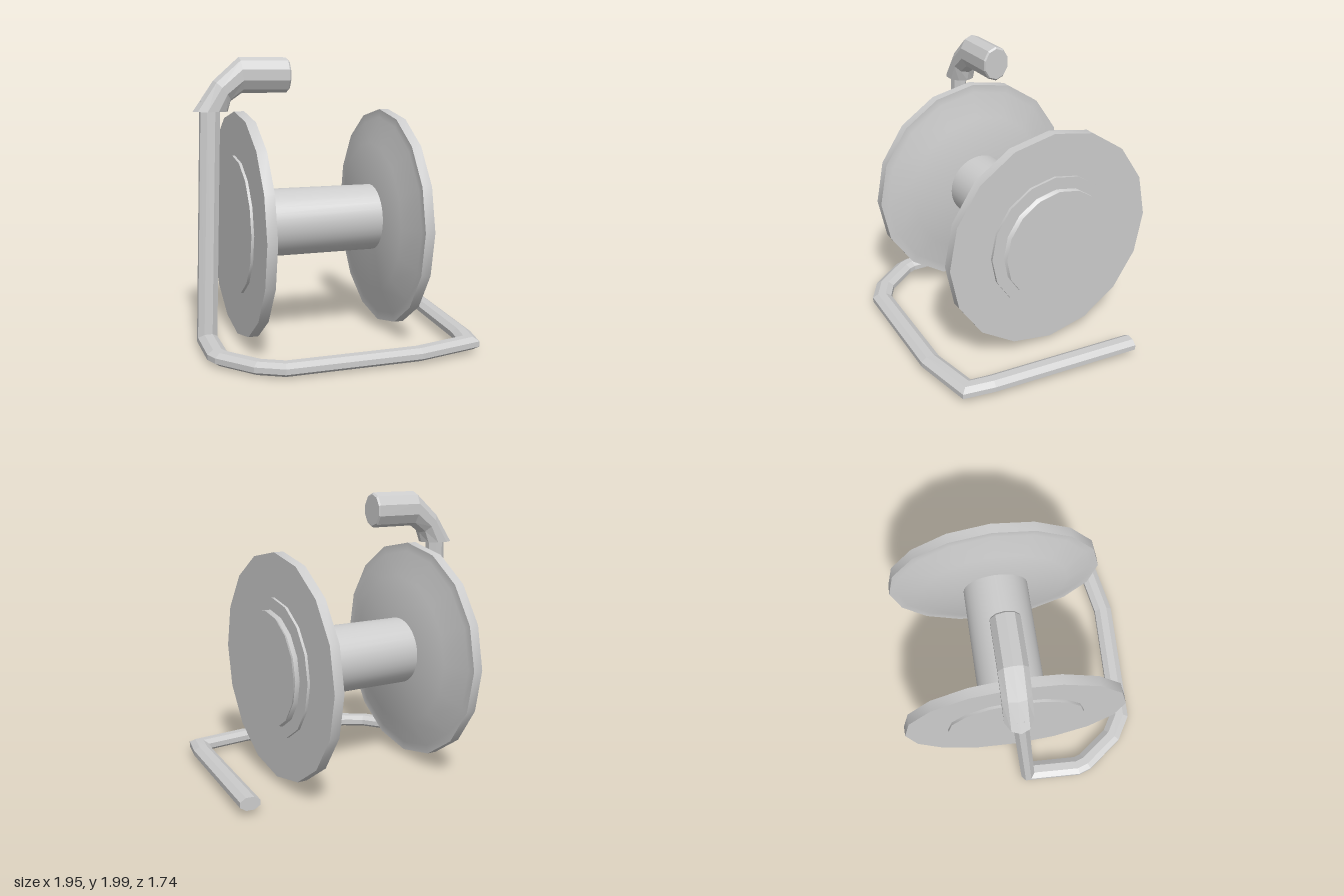
import * as THREE from 'three';
import { toCreasedNormals } from 'three/addons/utils/BufferGeometryUtils.js';

const grey = new THREE.MeshStandardMaterial({ color: 0xcccccc });
const facet = new THREE.MeshStandardMaterial({ color: 0xcccccc, flatShading: true });
const V = (x, y, z) => new THREE.Vector3(x, y, z);

function mesh(name, geometry, material) {
  const m = new THREE.Mesh(geometry, material);
  m.name = name;
  return m;
}

// Solid of revolution about the x axis, profile given as [x, radius]
function turned(name, profile, sides) {
  const geo = new THREE.LatheGeometry(profile.map(([x, r]) => new THREE.Vector2(r, x)), sides);
  geo.rotateZ(-Math.PI / 2);
  return mesh(name, toCreasedNormals(geo, 0.55), grey);
}

// Capped faceted bar through sections { c: centre, u, v: half axes }
function loft(name, sections, sides, offset = 0) {
  const pos = [], idx = [];
  const grow = offset ? 1 / Math.cos(offset) : 1;
  for (const { c, u, v } of sections) {
    for (let j = 0; j < sides; j++) {
      const a = (j / sides) * Math.PI * 2 + offset;
      const p = c.clone().addScaledVector(u, Math.cos(a) * grow).addScaledVector(v, Math.sin(a) * grow);
      pos.push(p.x, p.y, p.z);
    }
  }
  for (let i = 0; i < sections.length - 1; i++) {
    for (let j = 0; j < sides; j++) {
      const a = i * sides + j, b = i * sides + (j + 1) % sides;
      idx.push(a, b, a + sides, b, b + sides, a + sides);
    }
  }
  const last = (sections.length - 1) * sides;
  for (let j = 1; j < sides - 1; j++) {
    idx.push(0, j + 1, j, last, last + j, last + j + 1);
  }
  const geo = new THREE.BufferGeometry();
  geo.setAttribute('position', new THREE.Float32BufferAttribute(pos, 3));
  geo.setIndex(idx);
  const flat = geo.toNonIndexed();
  flat.computeVertexNormals();
  return mesh(name, flat, facet);
}

// Bent bar: upright on the right side, then a foot running round the floor
function frameBar() {
  const w = 0.068, h = 0.044;
  const floor = [
    [-0.89, 0.053, -0.03], [-0.908, 0.053, 0.36], [-0.885, 0.053, 0.43], [-0.71, 0.054, 0.67],
    [-0.56, 0.055, 0.763], [0.34, 0.064, 0.80], [0.745, 0.075, 0.732], [0.785, 0.08, 0.56], [0.902, 0.088, -0.5],
  ].map((p) => V(...p));
  const sections = [
    { c: V(-0.825, 1.7, -0.095), u: V(w, 0, 0), v: V(0, 0, 0.05) },
    { c: floor[0], u: V(w, 0, 0), v: V(0, h, 0.05) },
  ];
  const dir = (a, b) => V(b.x - a.x, 0, b.z - a.z).normalize();
  for (let i = 1; i < floor.length; i++) {
    const before = dir(floor[i - 1], floor[i]);
    const after = i + 1 < floor.length ? dir(floor[i], floor[i + 1]) : before;
    const t = before.clone().add(after).normalize();
    const u = V(0, 1, 0).cross(t).multiplyScalar(w / t.dot(before)); // mitred width
    sections.push({ c: floor[i], u, v: V(0, h, 0) });
  }
  return loft('frameBar', sections, 8, Math.PI / 8);
}

// Curved grip: each row is upper x, y and lower x, y
function grip() {
  const rows = [
    [-0.945, 1.63, -0.70, 1.63], [-0.80, 1.84, -0.68, 1.70], [-0.62, 2.0, -0.60, 1.755],
    [-0.28, 2.0, -0.28, 1.755], [-0.268, 1.988, -0.268, 1.767],
  ];
  const sections = rows.map(([ax, ay, bx, by], i) => ({
    c: V((ax + bx) / 2, (ay + by) / 2, -0.098),
    u: V((ax - bx) / 2, (ay - by) / 2, 0),
    v: V(0, 0, i === 4 ? 0.092 : 0.1),
  }));
  // u points away from the bend, so v is turned to keep faces outward
  sections.forEach((s) => s.v.negate());
  // u x v must follow the path
  const path = sections[1].c.clone().sub(sections[0].c);
  if (sections[0].u.clone().cross(sections[0].v).dot(path) < 0) sections.forEach((s) => s.v.negate());
  return loft('grip', sections, 10);
}

export function createModel() {
  const model = new THREE.Group();
  model.name = 'cableReel';

  const reel = new THREE.Group();
  reel.name = 'reel';
  reel.position.set(-0.08, 0.84, -0.085);

  // Drum between the flanges
  reel.add(turned('drum', [[-0.45, 0.24], [0.45, 0.24]], 32));

  // Flange with bevelled inner face and an outer plate, on both ends
  for (const side of [1, -1]) {
    const end = new THREE.Group();
    end.name = side > 0 ? 'leftFlange' : 'rightFlange';
    end.add(turned('disc', [[0.44, 0], [0.44, 0.55], [0.508, 0.73], [0.508, 0.79], [0.578, 0.79], [0.578, 0]], 16));
    end.add(turned('plate', [[0.57, 0.485], [0.597, 0.485], [0.597, 0]], 16));
    if (side < 0) end.rotation.y = Math.PI;
    reel.add(end);
  }

  // Grooved cap beside the left flange
  reel.add(turned('cap', [[0.61, 0], [0.61, 0.405], [0.632, 0.385], [0.654, 0.405], [0.654, 0]], 16));

  model.add(reel, frameBar(), grip());
  return model;
}
